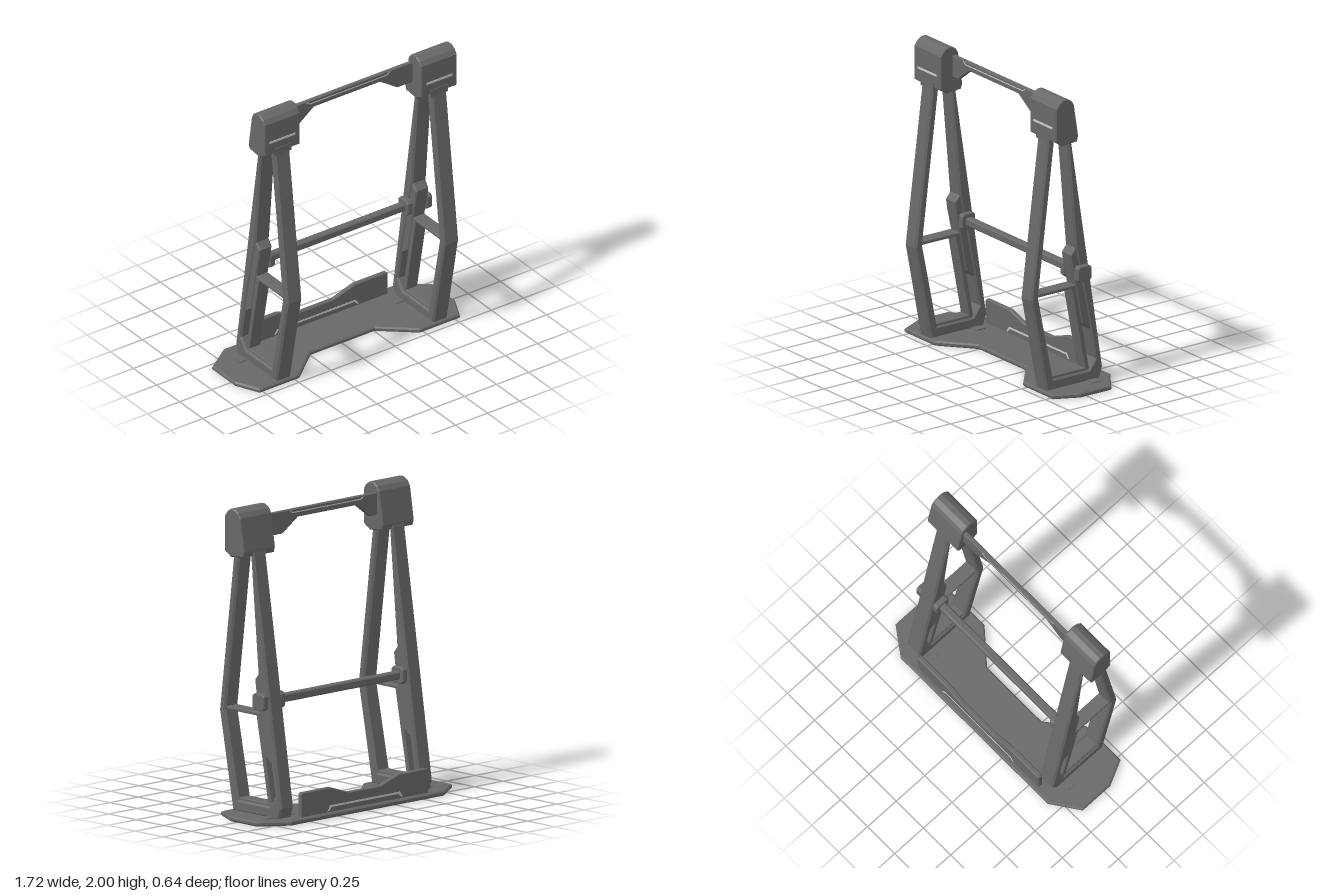
import * as THREE from 'three';

const dark = new THREE.MeshStandardMaterial({ color: 0x686868 });
const light = new THREE.MeshStandardMaterial({ color: 0xe0e0e0 });

function shapeOf(points, holes = []) {
  const toVec = (p) => new THREE.Vector2(p[0], p[1]);
  const shape = new THREE.Shape(points.map(toVec));
  holes.forEach((h) => shape.holes.push(new THREE.Path(h.map(toVec))));
  return shape;
}

// Extrusion centred on its depth; the bevel stays inside the outline
function extrude(shape, depth, bevel) {
  const geometry = new THREE.ExtrudeGeometry(shape, {
    depth: depth - 2 * bevel,
    bevelEnabled: bevel > 0,
    bevelThickness: bevel,
    bevelSize: bevel,
    bevelOffset: -bevel,
    bevelSegments: 1,
  });
  return geometry.translate(0, 0, -(depth - 2 * bevel) / 2);
}

function add(parent, name, geometry, x = 0, y = 0, z = 0, material = dark) {
  const mesh = new THREE.Mesh(geometry, material);
  mesh.name = name;
  mesh.position.set(x, y, z);
  parent.add(mesh);
  return mesh;
}

// Side profile given as [z, y], swept across x
function side(parent, name, points, width, bevel, x = 0, holes = []) {
  return add(parent, name, extrude(shapeOf(points, holes), width, bevel).rotateY(-Math.PI / 2), x);
}

function box(parent, name, w, h, d, x, y, z, material = dark) {
  return add(parent, name, new THREE.BoxGeometry(w, h, d), x, y, z, material);
}

// Square with cut corners, centred on [z, y]
function cutSquare(z, y, r, c) {
  return [[r, -r + c], [r, r - c], [r - c, r], [-r + c, r], [-r, r - c], [-r, -r + c], [-r + c, -r], [r - c, -r]]
    .map(([a, b]) => [z + a, y + b]);
}

function createLeg(name, x) {
  const leg = new THREE.Group();
  leg.name = name;
  leg.position.x = x;

  // Bent front leg, sloping back leg and foot as one open frame
  side(leg, 'legFrame',
    [[0.198, 0.025], [0.32, 0.66], [0.182, 1.75], [0.015, 1.75], [0.005, 1.7], [-0.245, 0.1], [-0.22, 0.025]],
    0.117, 0.012, 0,
    [[[0.145, 0.1], [0.262, 0.67], [0.135, 1.69], [0.035, 1.69], [-0.03, 0.95], [-0.15, 0.37], [-0.185, 0.17], [-0.135, 0.1]]]);

  // Inner brace: cross bar, strut and sill
  side(leg, 'innerBrace', [[0.27, 0.668], [0.27, 0.69], [-0.04, 0.69], [-0.04, 0.668]], 0.09, 0.004);
  side(leg, 'innerStrut', [[-0.005, 0.68], [-0.04, 0.68], [-0.148, 0.1], [-0.115, 0.1]], 0.09, 0.004);
  side(leg, 'innerSill', [[0.15, 0.09], [0.15, 0.116], [-0.125, 0.116], [-0.145, 0.09]], 0.09, 0.004);

  // Fin on the front of the back leg
  side(leg, 'braceFin',
    [[-0.045, 0.96], [0.005, 0.9], [-0.005, 0.83], [-0.033, 0.7], [-0.085, 0.42], [-0.15, 0.37], [-0.175, 0.4], [-0.09, 0.9]],
    0.1, 0.008);

  // Cap joining both legs, with a wrap-around seam strip and lower tab
  side(leg, 'headCap',
    [[0.185, 1.72], [0.185, 1.945], [0.165, 1.975], [0.13, 1.997], [0.095, 1.997], [0.06, 1.975], [0.042, 1.945],
      [0.008, 1.73], [0.018, 1.695], [0.13, 1.685]],
    0.28, 0.007);
  box(leg, 'headSeam', 0.26, 0.006, 0.006, 0, 1.795, 0.184);
  box(leg, 'headTrim', 0.2, 0.014, 0.006, 0, 1.808, 0.185, light);
  box(leg, 'headTab', 0.135, 0.05, 0.04, 0, 1.725, 0.169);
  return leg;
}

export function createModel() {
  const model = new THREE.Group();
  model.name = 'frameStand';

  // Base plate outline as [x, -z], mirrored left to right
  const half = [[0.25, -0.03], [0.47, -0.215], [0.78, -0.215], [0.86, -0.05], [0.86, 0.19], [0.675, 0.32]];
  const outline = half.concat(half.map(([x, y]) => [-x, y]).reverse());
  add(model, 'basePlate', extrude(shapeOf(outline), 0.032, 0.009).rotateX(-Math.PI / 2), 0, 0.016, 0);

  // Legs and their base pads
  const legX = [['rightLeg', -0.582], ['leftLeg', 0.64]];
  legX.forEach(([name, x]) => {
    model.add(createLeg(name, x));
    box(model, 'legPad', 0.24, 0.008, 0.065, x, 0.033, -0.15);
  });

  // Top rail with drop ends and a thin lip
  const rail = [[-0.46, 1.935], [-0.46, 1.79], [-0.385, 1.79], [-0.265, 1.88], [0.25, 1.88], [0.385, 1.79], [0.52, 1.79], [0.52, 1.935]];
  add(model, 'topRail', extrude(shapeOf(rail), 0.03, 0.004), 0, 0, 0.075);
  const lip = [[-0.33, 1.93], [-0.3, 1.91], [0.3, 1.91], [0.33, 1.93], [0.32, 1.93], [0.298, 1.916], [-0.298, 1.916], [-0.32, 1.93]];
  add(model, 'railLip', extrude(shapeOf(lip), 0.034, 0), 0, 0, 0.075, light);

  // Low panel standing on the back of the base
  const panel = [[-0.56, 0.025], [0.56, 0.025], [0.56, 0.18], [0.55, 0.19], [0.3, 0.19], [0.14, 0.137], [-0.14, 0.137], [-0.3, 0.19], [-0.55, 0.19], [-0.56, 0.18]];
  add(model, 'backPanel', extrude(shapeOf(panel), 0.034, 0.006), 0, 0, -0.272);
  const trim = [[-0.33, 0.04], [-0.305, 0.075], [0.305, 0.075], [0.33, 0.04], [0.318, 0.04], [0.295, 0.063], [-0.295, 0.063], [-0.318, 0.04]];
  add(model, 'panelTrim', extrude(shapeOf(trim), 0.038, 0), 0, 0, -0.272, light);

  // Middle bar with its collars
  side(model, 'middleBar', cutSquare(-0.077, 0.77, 0.026, 0.008), 1.2, 0, 0.05);
  [[-0.508, 0.04], [0.565, 0.04], [0.714, 0.045]].forEach(([x, w]) => {
    side(model, 'barCollar', cutSquare(-0.075, 0.77, 0.053, 0.016), w, 0.005, x);
  });
  return model;
}
